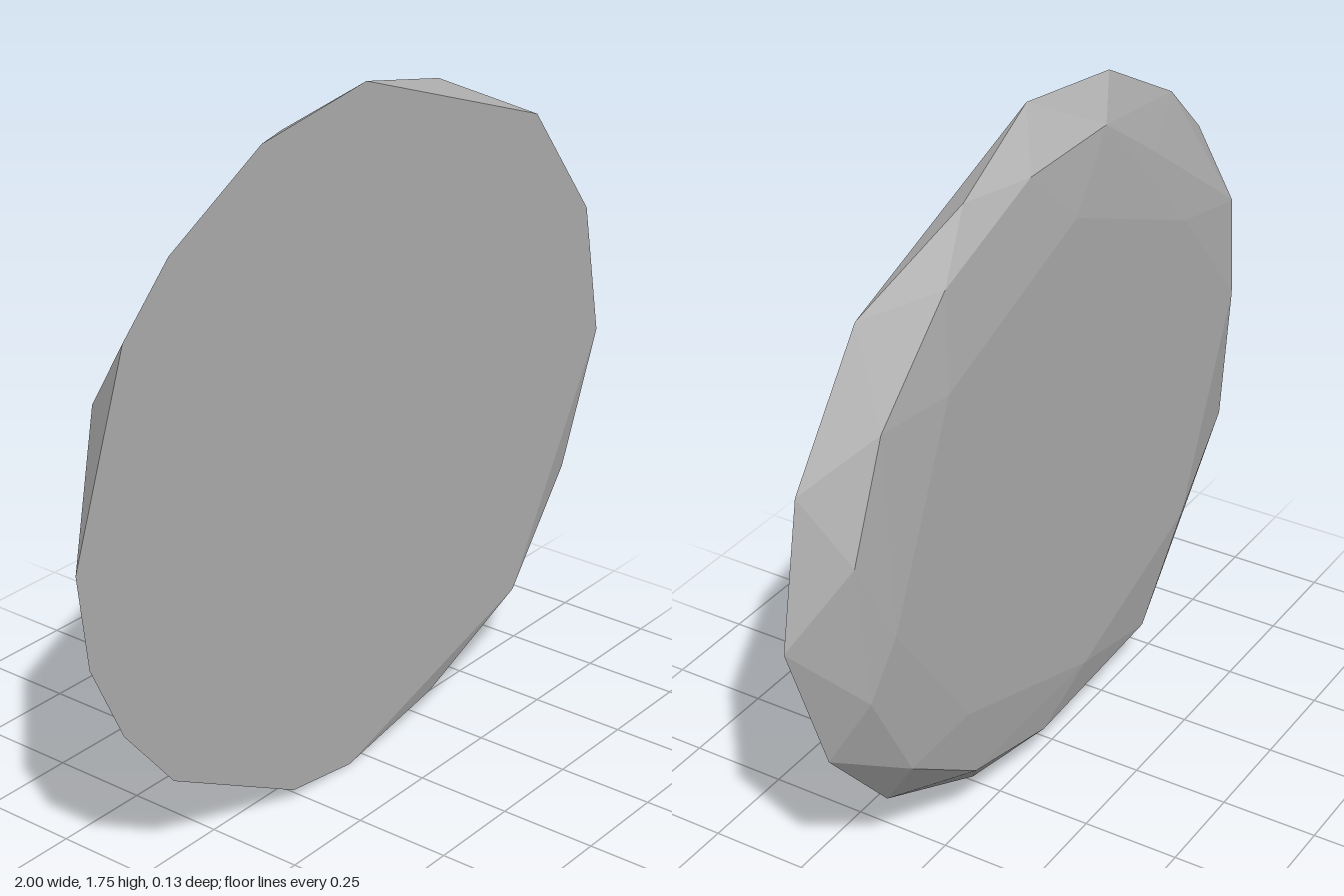
import * as THREE from 'three';
import { ConvexGeometry } from 'three/addons/geometries/ConvexGeometry.js';

// Rings of [x, y] outline points, by depth
const FRONT = [
  [0, 1.755], [0.69, 1.51], [0.93, 1.2], [1, 0.84], [0.64, 0.21], [-0.06, 0], [-0.28, 0.03],
  [-0.71, 0.26], [-0.87, 0.45], [-0.97, 0.66], [-1, 0.9], [-0.83, 1.38], [-0.68, 1.53], [-0.37, 1.7],
];
const SHOULDER = [
  [0.16, 1.66], [0.51, 1.535], [0.765, 1.305], [0.88, 1.03], [0.84, 0.65], [0.69, 0.375], [0.425, 0.195],
  [0.11, 0.12], [-0.387, 0.145], [-0.785, 0.595], [-0.815, 1.205], [-0.41, 1.497], [-0.17, 1.66],
];
const BACK = [
  [0, 1.5], [0.54, 1.3], [0.77, 0.8], [0.485, 0.41], [-0.05, 0.235],
  [-0.544, 0.415], [-0.785, 0.96], [-0.52, 1.276],
];
// Chips knocked off the front rim
const CHIPS = [[0.36, 1.667, 0.005], [0.88, 0.48, 0.052], [0.29, 0.05, 0.054]];

export function createModel() {
  const group = new THREE.Group();
  group.name = 'flatStone';

  const ring = (points, z) => points.map(([x, y]) => new THREE.Vector3(x, y, z));
  const points = [
    ...ring(FRONT, 0.067),
    ...ring(SHOULDER, -0.043),
    ...ring(BACK, -0.067),
    ...CHIPS.map((p) => new THREE.Vector3(...p)),
  ];

  // Faceted slab wrapped around the rings
  const stoneGrey = new THREE.MeshStandardMaterial({ color: 0xb0b0b0, flatShading: true });
  stoneGrey.name = 'stoneGrey';
  const slab = new THREE.Mesh(new ConvexGeometry(points), stoneGrey);
  slab.name = 'stoneSlab';
  group.add(slab);
  return group;
}
